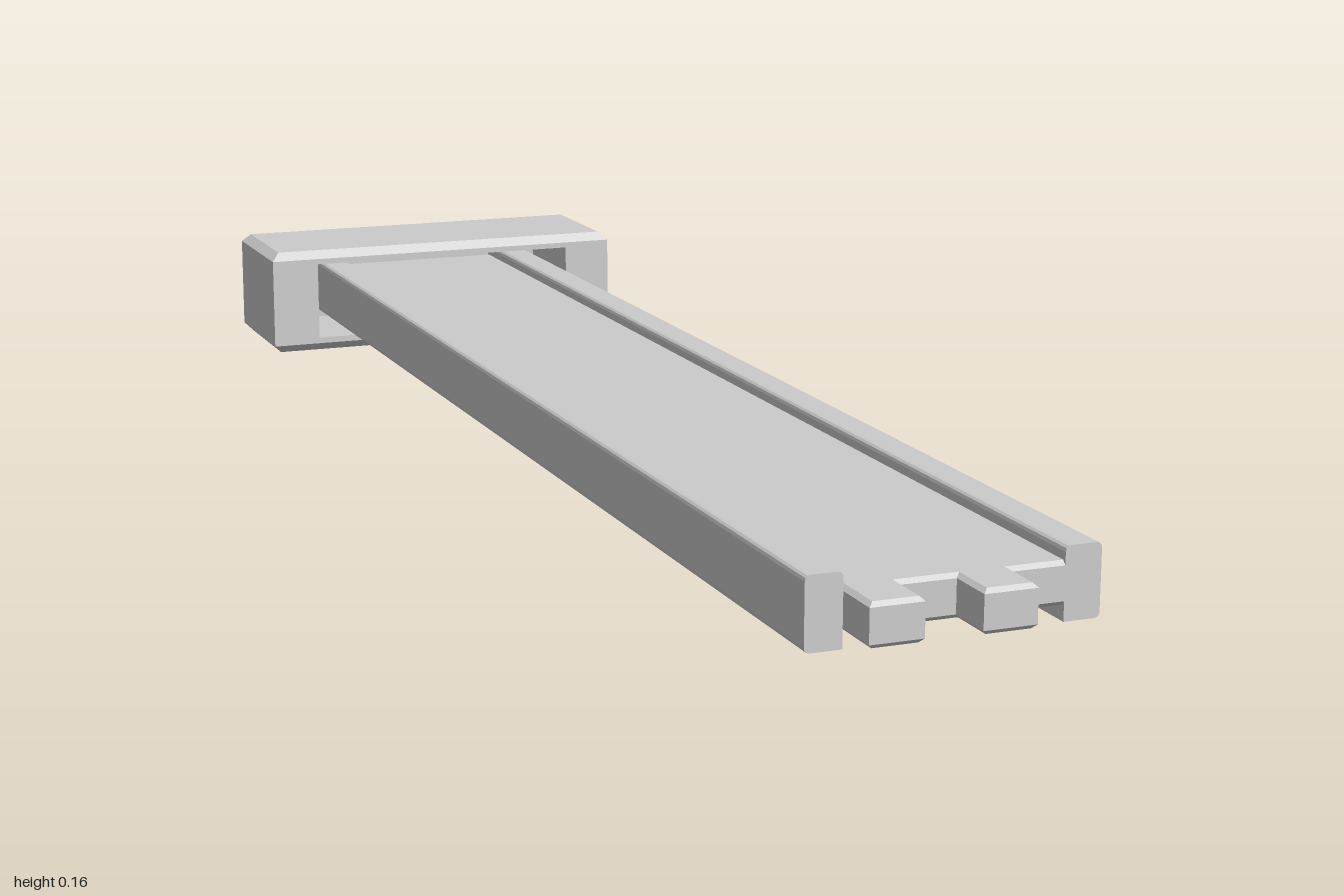
import * as THREE from 'three';

const material = new THREE.MeshStandardMaterial({ color: 0xcccccc, flatShading: true });

function add(parent, name, geometry, x = 0, y = 0, z = 0) {
  const mesh = new THREE.Mesh(geometry, material);
  mesh.name = name;
  mesh.position.set(x, y, z);
  parent.add(mesh);
  return mesh;
}

const polygon = (Type, points) => new Type(points.map(([x, y]) => new THREE.Vector2(x, y)));
const rectangle = (Type, x, y0, y1) => polygon(Type, [[-x, y0], [x, y0], [x, y1], [-x, y1]]);

// Slab whose upper (side = 1) or lower (side = -1) face is inset on all four sides
function chamferSlab(w, h, d, inset, side) {
  const geometry = new THREE.BoxGeometry(w, h, d);
  const p = geometry.attributes.position;
  for (let i = 0; i < p.count; i++) {
    if (p.getY(i) * side > 0) {
      p.setX(i, p.getX(i) - Math.sign(p.getX(i)) * inset);
      p.setZ(i, p.getZ(i) - Math.sign(p.getZ(i)) * inset);
    }
  }
  geometry.computeVertexNormals();
  return geometry;
}

// End block: hollow sleeve open to the front, closed at the back
function createEndBlock() {
  const block = new THREE.Group();
  block.name = 'endBlock';
  const half = 0.275, height = 0.157, c = 0.012, back = -1, front = -0.8, wall = 0.04;

  const frame = rectangle(THREE.Shape, half, c, height - c);
  frame.holes.push(rectangle(THREE.Path, 0.204, 0.021, 0.137));
  add(block, 'sleeve', new THREE.ExtrudeGeometry(frame, { depth: front - back - wall, bevelEnabled: false }),
    0, 0, back + wall);
  add(block, 'backWall', new THREE.BoxGeometry(2 * half, height - 2 * c, wall), 0, height / 2, back + wall / 2);
  for (const side of [1, -1]) {
    add(block, side > 0 ? 'topChamfer' : 'bottomChamfer',
      chamferSlab(2 * half, c, front - back, c, side),
      0, height / 2 + side * (height - c) / 2, (front + back) / 2);
  }
  return block;
}

// Side rail: long bar with eased corners
function createRail() {
  const w = 0.0215, h = 0.0415, r = 0.007;
  const s = new THREE.Shape();
  s.moveTo(-w, -h);
  s.lineTo(w - r, -h);
  s.quadraticCurveTo(w, -h, w, -h + r);
  s.lineTo(w, h - r);
  s.quadraticCurveTo(w, h, w - r, h);
  s.lineTo(-w + r, h);
  s.quadraticCurveTo(-w, h, -w, h - r);
  s.closePath();
  return new THREE.ExtrudeGeometry(s, { depth: 1.9, bevelEnabled: false, curveSegments: 3 });
}

// Central plate with two tabs at the front end, edges bevelled
function createPlate() {
  const e = 0.94, tip = 1, b = 0.005;
  const plan = polygon(THREE.Shape, [
    [-0.128, 0.96], [0.132, 0.96], [0.132, -e], [0.062, -e], [0.062, -tip], [0, -tip],
    [0, -e], [-0.066, -e], [-0.066, -tip], [-0.128, -tip],
  ]);
  const geometry = new THREE.ExtrudeGeometry(plan, {
    depth: 0.049 - 2 * b, bevelThickness: b, bevelSize: b, bevelOffset: -b, bevelSegments: 1,
  });
  return geometry.rotateX(-Math.PI / 2).translate(0, 0.055 + b, 0);
}

export function createModel() {
  const model = new THREE.Group();
  model.name = 'slidingBar';
  model.add(createEndBlock());
  add(model, 'plate', createPlate());
  const rail = createRail();
  add(model, 'leftRail', rail, 0.148, 0.079, -0.96);
  // Mirrored by reflecting the profile and keeping face order correct
  const mirrored = rail.clone().rotateY(Math.PI).translate(0, 0, 1.9);
  add(model, 'rightRail', mirrored, -0.15, 0.079, -0.96);
  return model;
}
